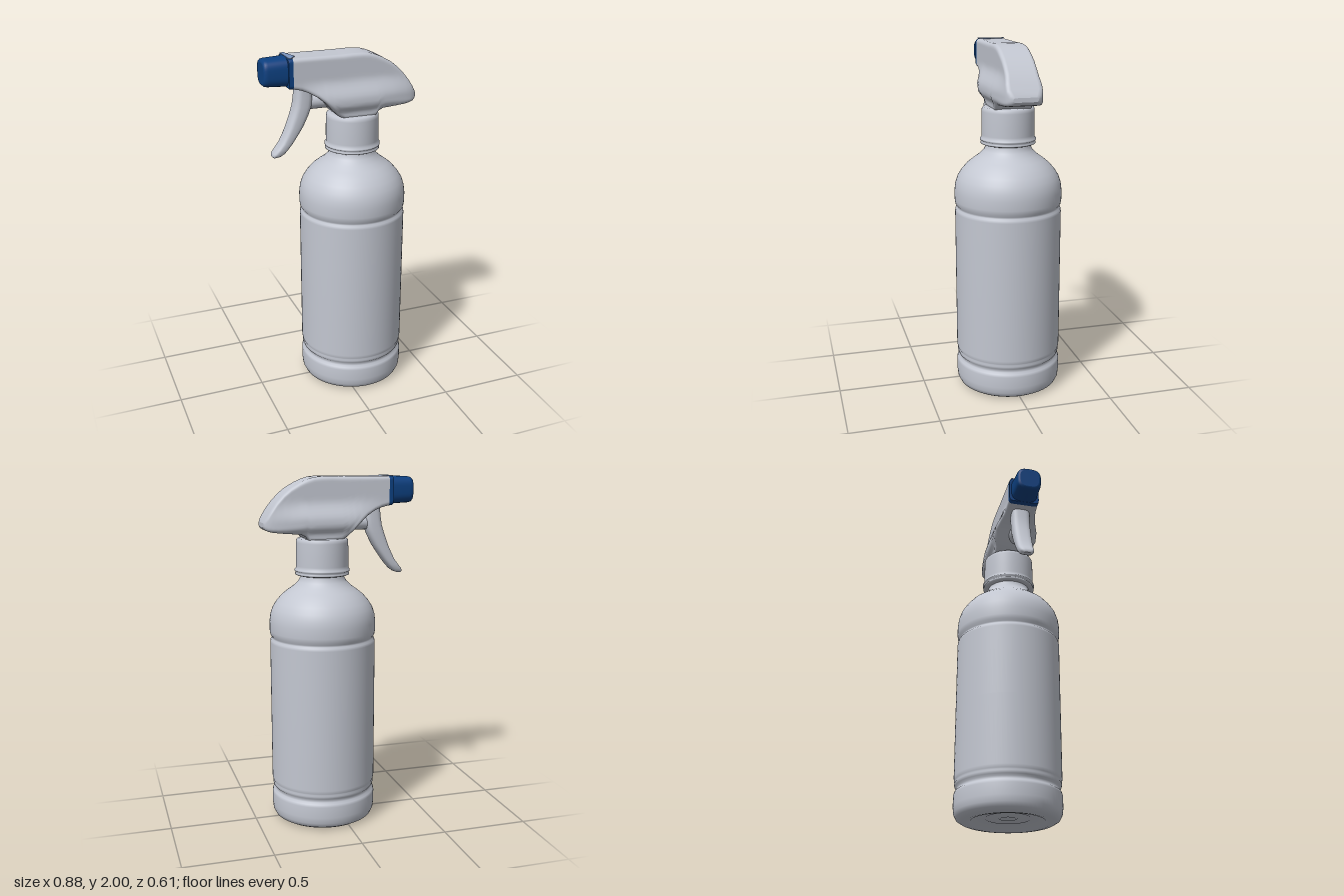
import * as THREE from 'three';

const AXIS_X = 0.085; // bottle axis

// Skin a list of equal-length rings and close both ends
function loft(rings) {
  const n = rings[0].length, pos = [], idx = [];
  rings.forEach(r => r.forEach(p => pos.push(...p)));
  for (let i = 0; i < rings.length - 1; i++) {
    for (let j = 0; j < n; j++) {
      const a = i * n + j, b = i * n + (j + 1) % n;
      idx.push(a, b, a + n, b, b + n, a + n);
    }
  }
  [rings[0], rings[rings.length - 1]].forEach((ring, end) => {
    const base = pos.length / 3;
    ring.forEach(p => pos.push(...p));
    pos.push(...[0, 1, 2].map(k => ring.reduce((s, p) => s + p[k], 0) / n));
    for (let j = 0; j < n; j++) {
      const a = base + j, b = base + (j + 1) % n;
      idx.push(base + n, ...(end ? [a, b] : [b, a]));
    }
  });
  const g = new THREE.BufferGeometry();
  g.setAttribute('position', new THREE.Float32BufferAttribute(pos, 3));
  g.setIndex(idx);
  g.computeVertexNormals();
  return g;
}

// Head cross-section at x: slim upper body, flared lower skirt, rounded corners
function headSection([x, top, bottom, flare]) {
  const S = THREE.MathUtils.smoothstep, K = 28, side = [];
  const r = Math.min(0.022, (top - bottom) * 0.45);
  for (let k = 0; k <= K; k++) {
    const y = (top + bottom) / 2 + (top - bottom) / 2 * Math.cos(Math.PI * k / K);
    let w = 0.09 + (flare - 0.09) * (1 - S(y, 1.755, 1.87));
    w -= Math.max(0, w - 0.108) * (1 - S(y, 1.68, 1.725));
    const d = Math.min(top - y, y - bottom);
    if (d < r) w -= r - Math.sqrt(Math.max(0, r * r - (r - d) ** 2));
    side.push([x, y, w]);
  }
  return [...side, ...side.slice().reverse().map(([a, b, c]) => [a, b, -c])];
}

// Horizontal or vertical oval ring
function oval(n, fn) {
  return Array.from({ length: n }, (_, j) => fn(Math.cos(j / n * Math.PI * 2), Math.sin(j / n * Math.PI * 2)));
}

export function createModel() {
  const group = new THREE.Group();
  const grey = new THREE.MeshStandardMaterial({ name: 'pale grey plastic', color: 0xc3c7d1 });
  const blue = new THREE.MeshStandardMaterial({ name: 'dark blue plastic', color: 0x0d4080 });
  const paleBlue = new THREE.MeshStandardMaterial({ name: 'pale blue', color: 0x7b96c0 });
  const add = (name, geometry, material) => {
    const m = new THREE.Mesh(geometry, material);
    m.name = name;
    group.add(m);
    return m;
  };
  const lathe = (name, pts) => {
    const m = add(name, new THREE.LatheGeometry(pts.map(p => new THREE.Vector2(...p)), 72), grey);
    m.position.x = AXIS_X;
  };

  // Bottle: dished base, foot, label panel, shoulder and neck
  lathe('bottle', [
    [0, 0.03], [0.03, 0.03], [0.045, 0.022], [0.06, 0.03], [0.11, 0.032], [0.125, 0.025], [0.14, 0.03],
    [0.18, 0.022], [0.21, 0.004], [0.235, 0], [0.265, 0.006], [0.288, 0.02], [0.3, 0.045], [0.304, 0.08],
    [0.304, 0.145], [0.299, 0.16], [0.288, 0.17], [0.287, 0.185], [0.296, 0.195], [0.3, 0.21],
    [0.296, 0.218], [0.3, 0.226], [0.303, 0.245], [0.303, 0.65], [0.303, 1.06], [0.3, 1.075],
    [0.292, 1.083], [0.292, 1.093], [0.301, 1.105], [0.305, 1.13], [0.305, 1.18], [0.3, 1.22],
    [0.287, 1.26], [0.265, 1.295], [0.235, 1.33], [0.2, 1.358], [0.165, 1.383], [0.138, 1.41],
    [0.125, 1.435], [0.122, 1.47],
  ]);

  // Screw cap with its lower sealing rings
  lathe('screwCap', [
    [0.1, 1.446], [0.145, 1.446], [0.154, 1.45], [0.154, 1.458], [0.148, 1.464], [0.157, 1.47],
    [0.157, 1.478], [0.149, 1.485], [0.149, 1.5], [0.149, 1.56], [0.148, 1.63], [0.146, 1.646],
    [0.138, 1.654], [0.12, 1.656], [0, 1.656],
  ]);

  // Spray head: x, top, bottom, half width of the flare
  const stations = [
    [-0.285, 1.996, 1.832, 0.092], [-0.24, 1.996, 1.822, 0.1], [-0.2, 1.996, 1.806, 0.106],
    [-0.15, 1.996, 1.778, 0.12], [-0.11, 1.996, 1.744, 0.13], [-0.07, 1.996, 1.7, 0.133],
    [-0.035, 1.996, 1.665, 0.133], [0, 1.996, 1.645, 0.133], [0.05, 1.998, 1.64, 0.133],
    [0.11, 1.997, 1.64, 0.133], [0.15, 1.993, 1.64, 0.132], [0.185, 1.983, 1.645, 0.131],
    [0.205, 1.975, 1.672, 0.13], [0.23, 1.964, 1.683, 0.128], [0.28, 1.936, 1.687, 0.122],
    [0.32, 1.905, 1.69, 0.117], [0.36, 1.864, 1.694, 0.111], [0.39, 1.825, 1.698, 0.105],
    [0.412, 1.79, 1.703, 0.098], [0.428, 1.765, 1.712, 0.086], [0.435, 1.748, 1.724, 0.068],
  ];
  add('sprayHead', loft(stations.map(headSection)), grey);

  // Blue front collar with a pale patch on top
  add('frontCollar', loft([[-0.31, 1.992, 1.838, 0.088], [-0.305, 1.996, 1.834, 0.091],
    [-0.285, 1.996, 1.832, 0.092]].map(headSection)), blue);
  const patch = new THREE.Shape([[-0.307, -0.078], [-0.285, -0.078], [-0.275, -0.03], [-0.262, 0.015],
    [-0.26, 0.035], [-0.275, 0.05], [-0.285, 0.078], [-0.307, 0.078]].map(p => new THREE.Vector2(p[0], -p[1])));
  const plate = add('collarTopPatch', new THREE.ExtrudeGeometry(patch, { depth: 0.004, bevelEnabled: false }), paleBlue);
  plate.rotation.x = -Math.PI / 2;
  plate.position.y = 1.996;

  // Nozzle: rounded-square plug narrowing to the tip
  const soft = v => Math.sign(v) * Math.abs(v) ** 0.65;
  const nozzle = [[-0.44, 0.056], [-0.438, 0.064], [-0.43, 0.071], [-0.415, 0.074], [-0.33, 0.078], [-0.3, 0.08]];
  add('nozzle', loft(nozzle.map(([x, r]) => oval(40, (c, s) => [x, 1.918 + r * soft(c), r * soft(s)]))), blue);

  // Trigger: y, front edge, back edge, half width
  const lever = [
    [1.83, -0.25, -0.165, 0.055], [1.77, -0.256, -0.16, 0.055], [1.72, -0.264, -0.165, 0.055],
    [1.67, -0.28, -0.183, 0.054], [1.61, -0.302, -0.213, 0.052], [1.56, -0.324, -0.246, 0.05],
    [1.52, -0.345, -0.274, 0.048], [1.49, -0.368, -0.298, 0.046], [1.465, -0.389, -0.32, 0.042],
    [1.45, -0.393, -0.342, 0.034], [1.442, -0.388, -0.364, 0.02],
  ];
  add('trigger', loft(lever.map(([y, f, b, w]) =>
    oval(28, (c, s) => [(f + b) / 2 + (b - f) / 2 * soft(c), y, w * soft(s)]))), grey);

  // Piston between trigger and head
  const piston = add('piston', new THREE.CylinderGeometry(0.042, 0.042, 0.17, 28), grey);
  piston.rotation.z = Math.PI / 2;
  piston.position.set(-0.11, 1.737, 0);

  return group;
}
